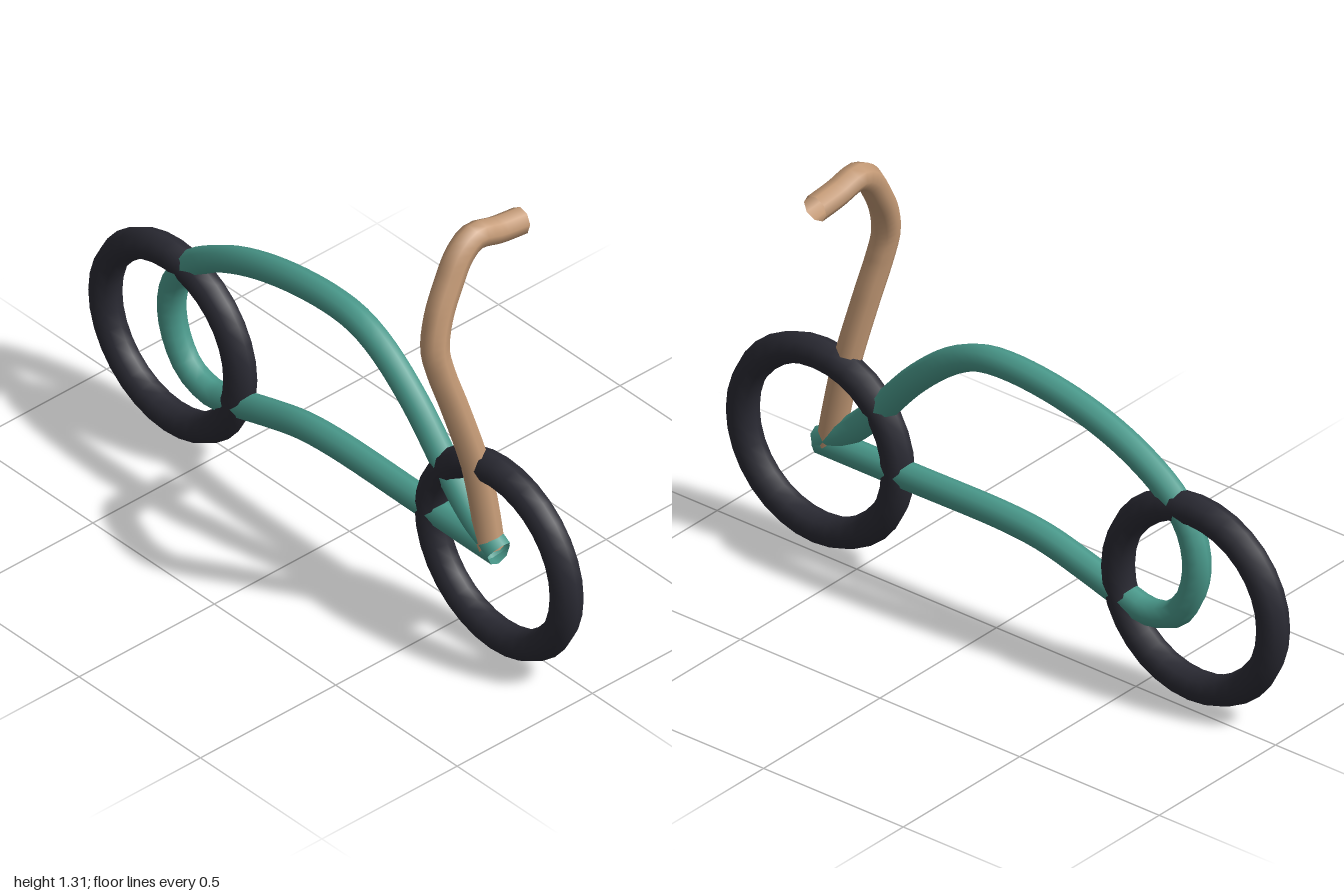
import * as THREE from 'three';

const CX = -0.05; // plane of the wheels and frame

function material(color) {
  return new THREE.MeshStandardMaterial({ color, side: THREE.DoubleSide });
}

// Open-ended bent pipe through a list of points
function pipe(name, points, radius, segments, mat) {
  const curve = new THREE.CatmullRomCurve3(points);
  const mesh = new THREE.Mesh(new THREE.TubeGeometry(curve, segments, radius, 8, false), mat);
  mesh.name = name;
  return mesh;
}

export function createModel() {
  const group = new THREE.Group();
  group.name = 'bicycle';

  // Front and rear tyres
  const rubber = material(0x2a2a33);
  const tyre = new THREE.TorusGeometry(0.278, 0.047, 8, 32);
  for (const [name, z] of [['frontWheel', 0.672], ['rearWheel', -0.672]]) {
    const wheel = new THREE.Mesh(tyre, rubber);
    wheel.name = name;
    wheel.rotation.y = Math.PI / 2;
    wheel.position.set(CX, 0.33, z);
    group.add(wheel);
  }

  // Frame: one loop from the front hub, along the bottom, round the back and over the top
  const frame = [
    [0.67, 0.333], [0.35, 0.333], [0, 0.333], [-0.14, 0.319], [-0.28, 0.283], [-0.42, 0.242],
    [-0.51, 0.224], [-0.6, 0.253], [-0.655, 0.33], [-0.677, 0.43], [-0.655, 0.535],
    [-0.59, 0.623], [-0.47, 0.705], [-0.33, 0.764], [-0.16, 0.804], [0, 0.817],
    [0.1, 0.805], [0.2, 0.759], [0.33, 0.652], [0.465, 0.5], [0.56, 0.405], [0.668, 0.333],
  ].map(([z, y]) => new THREE.Vector3(CX, y, z));
  group.add(pipe('frame', frame, 0.041, 80, material(0x4a9a8c)));

  // Handlebar: swings out to one side and curls over, in a leaning plane
  const handlebar = [
    [-0.05, 0.335], [-0.053, 0.45], [-0.067, 0.6], [-0.113, 0.8], [-0.145, 0.92], [-0.156, 1.0],
    [-0.13, 1.09], [-0.08, 1.175], [-0.03, 1.242], [0.025, 1.273], [0.11, 1.256], [0.196, 1.246],
  ].map(([x, y]) => new THREE.Vector3(x, y, 0.635 - (y - 0.335) * 0.164));
  group.add(pipe('handlebar', handlebar, 0.041, 48, material(0xc49a76)));

  return group;
}
